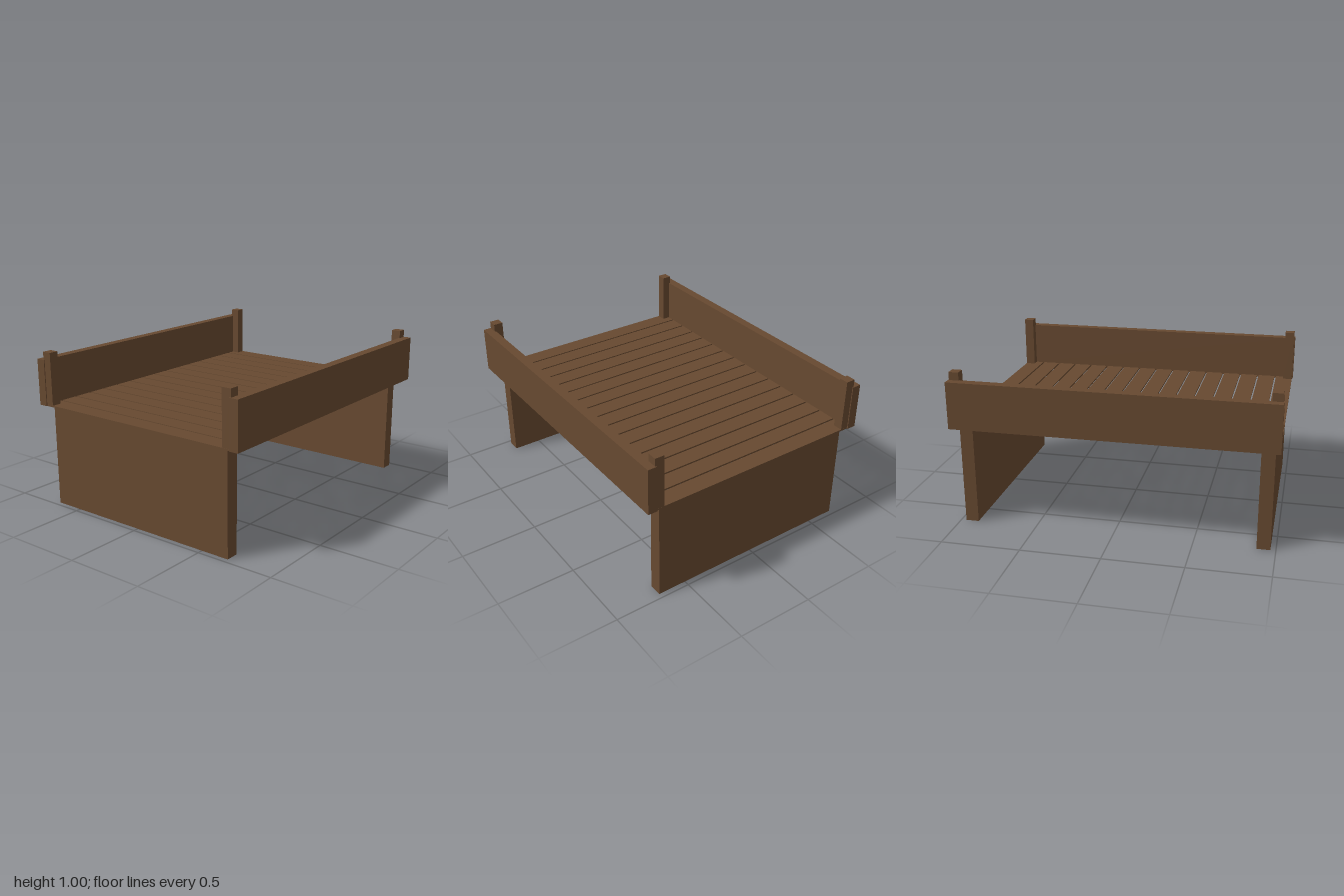
import * as THREE from 'three';

export function createModel() {
  const model = new THREE.Group();
  model.name = 'slattedBench';
  const wood = new THREE.MeshStandardMaterial({ color: 0x674930, flatShading: true });

  // Box given by its lower and upper bounds on each axis
  function board(name, [x0, x1], [y0, y1], [z0, z1]) {
    const mesh = new THREE.Mesh(new THREE.BoxGeometry(x1 - x0, y1 - y0, z1 - z0), wood);
    mesh.position.set((x0 + x1) / 2, (y0 + y1) / 2, (z0 + z1) / 2);
    mesh.name = name;
    model.add(mesh);
  }
  // Same bounds, flipped for the opposite side
  const mirror = ([a, b], s) => (s > 0 ? [a, b] : [-b, -a]);

  const base = 0.653;
  const deckTop = 0.663;

  // Deck of narrow slats running front to back
  const slats = 16, pitch = 2 / slats, gap = 0.011;
  for (let i = 0; i < slats; i++) {
    const x = -1 + i * pitch;
    board('deckSlat', [x + gap / 2, x + pitch - gap / 2], [base, deckTop], [-0.725, 0.725]);
  }

  for (const s of [1, -1]) {
    const side = s > 0 ? 'left' : 'right';
    const end = s > 0 ? 'front' : 'back';

    // Solid panel legs
    board(side + 'LegPanel', mirror([0.884, 0.967], s), [0, base], [-0.686, 0.686]);

    // Long rails along the front and back
    board(end + 'Rail', [-1, 1], [base, 0.95], mirror([0.721, 0.78], s));

    // Corner posts just inside each rail
    for (const t of [1, -1]) {
      board(end + 'Post', mirror([0.932, 0.994], t), [base, 1], mirror([0.669, 0.73], s));
    }
  }
  return model;
}
